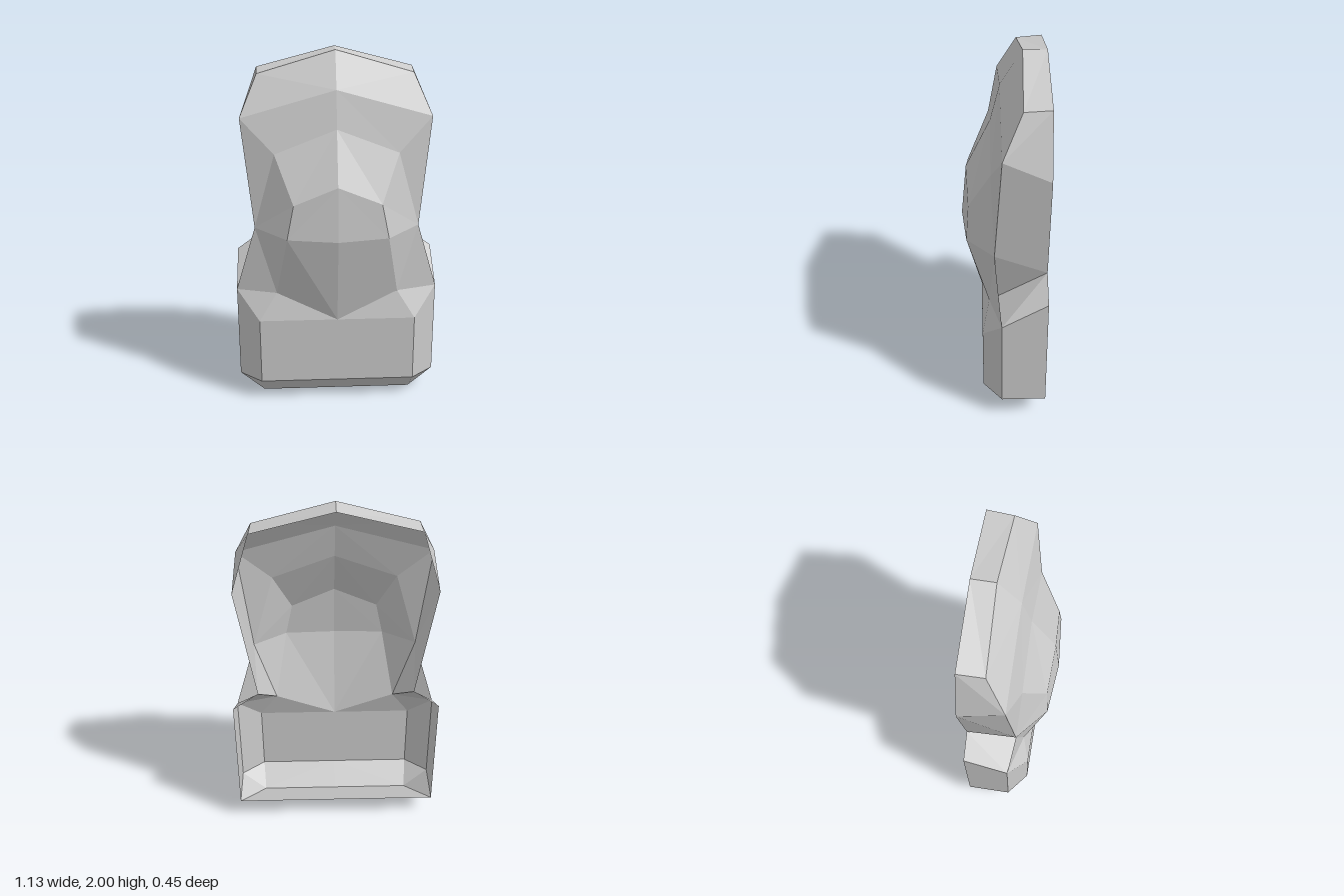
import * as THREE from 'three';

const stone = new THREE.MeshStandardMaterial({ color: 0xcccccc, flatShading: true, side: THREE.DoubleSide });
stone.name = 'paleGrey';

// Key corners of the left half (x >= 0); the right half is mirrored.
const P = {
  // head centre line, top to bottom
  crownBack: [0, 2, -0.225], crown: [0, 2, -0.1], forehead: [0, 1.81, 0.015], brow: [0, 1.61, 0.065],
  nose: [0, 1.33, 0.197], chin: [0, 1.03, 0.225], chest: [0, 0.515, 0.122],
  // head sides
  cornerBack: [0.425, 1.89, -0.225], corner: [0.42, 1.88, -0.085],
  templeBack: [0.525, 1.555, -0.225], temple: [0.515, 1.665, 0.017],
  eye: [0.335, 1.48, 0.07], cheek: [0.237, 1.23, 0.187], jaw: [0.275, 1.04, 0.2],
  neck: [0.452, 1.06, 0.055], neckBack: [0.425, 0.925, -0.225], collar: [0.34, 0.672, 0.083],
  // base block
  shoulderBack: [0.567, 0.82, -0.225], shoulder: [0.567, 0.672, 0.02], ledge: [0.44, 0.515, 0.122],
  footBack: [0.567, 0.125, -0.225], foot: [0.567, 0.125, 0.02], toe: [0.44, 0.122, 0.122],
  toeMid: [0, 0.122, 0.122], sole: [0.43, 0, 0.012], soleMid: [0, 0, 0.012], footBackMid: [0, 0.125, -0.225],
};

// Facets of each part, corners counter-clockwise from outside.
const parts = {
  crownBand: ['crownBack crown corner cornerBack', 'cornerBack corner temple templeBack'],
  face: [
    'crown forehead corner', 'corner forehead temple', 'forehead eye temple', 'forehead brow eye',
    'brow cheek eye', 'brow nose cheek', 'nose chin jaw cheek', 'eye cheek neck', 'cheek jaw neck', 'temple eye neck',
  ],
  headSide: ['temple neck templeBack', 'templeBack neck neckBack', 'neck collar neckBack'],
  neckFront: ['chin chest jaw', 'jaw chest collar', 'jaw collar neck'],
  neckFin: ['neck collar shoulder'],
  shoulders: ['chest ledge collar', 'collar ledge shoulder', 'neckBack collar shoulder', 'neckBack shoulder shoulderBack'],
  baseWall: ['chest toeMid toe ledge', 'ledge toe foot shoulder', 'shoulder foot footBack shoulderBack'],
  baseUnderside: ['toeMid soleMid sole', 'toeMid sole toe', 'toe sole foot', 'foot sole footBack', 'soleMid footBackMid footBack sole'],
};

// Fan each facet into triangles, then add its mirrored twin with reversed winding.
function shell(name, facets) {
  const pos = [];
  for (const facet of facets) {
    const c = facet.split(' ').map((key) => P[key]);
    for (let i = 1; i < c.length - 1; i++) {
      pos.push(...c[0], ...c[i], ...c[i + 1]);
      for (const [x, y, z] of [c[0], c[i + 1], c[i]]) pos.push(-x, y, z);
    }
  }
  const geometry = new THREE.BufferGeometry();
  geometry.setAttribute('position', new THREE.Float32BufferAttribute(pos, 3));
  geometry.computeVertexNormals();
  const mesh = new THREE.Mesh(geometry, stone);
  mesh.name = name;
  return mesh;
}

export function createModel() {
  const group = new THREE.Group();
  group.name = 'openBackBust';
  for (const [name, facets] of Object.entries(parts)) group.add(shell(name, facets));
  return group;
}
